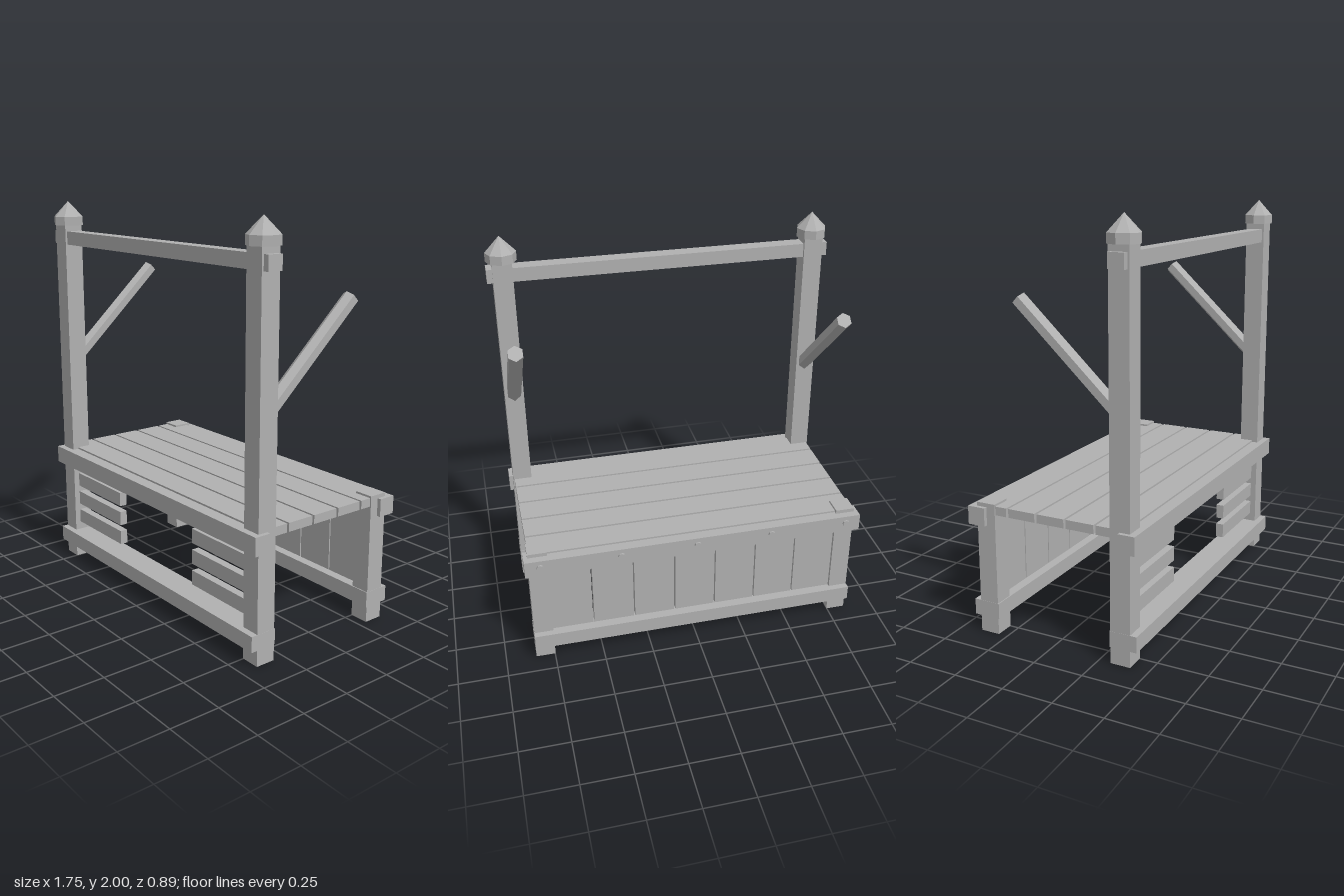
import * as THREE from 'three';

export function createModel() {
  const model = new THREE.Group();
  model.name = 'marketStall';
  const grey = new THREE.MeshStandardMaterial({ color: 0xb0b0b0, flatShading: true });
  grey.name = 'plain grey';

  const add = (name, geometry) => {
    const mesh = new THREE.Mesh(geometry, grey);
    mesh.name = name;
    model.add(mesh);
    return mesh;
  };
  // Box given by its extents on each axis
  const beam = (name, [x0, x1], [y0, y1], [z0, z1]) =>
    add(name, new THREE.BoxGeometry(x1 - x0, y1 - y0, z1 - z0))
      .position.set((x0 + x1) / 2, (y0 + y1) / 2, (z0 + z1) / 2);

  // Posts, caps, awning struts and front slats, mirrored left and right
  for (const [side, s] of [['left', 1], ['right', -1]]) {
    const x = s * 0.797;
    const postX = [x - 0.049, x + 0.049];
    beam(side + 'FrontPost', postX, [0, 1.89], [0.31, 0.41]);
    beam(side + 'BackPost', postX, [0, 0.655], [-0.395, -0.297]);

    add(side + 'CapBase', new THREE.CylinderGeometry(0.077, 0.077, 0.045, 8)).position.set(x, 1.8975, 0.36);
    add(side + 'CapPoint', new THREE.ConeGeometry(0.077, 0.08, 8)).position.set(x, 1.96, 0.36);

    // Hexagonal strut leaning back out of the post
    const from = new THREE.Vector3(x, 1.151, 0.34);
    const to = new THREE.Vector3(x, 1.617, -0.16);
    const dir = to.clone().sub(from);
    const strut = add(side + 'Strut', new THREE.CylinderGeometry(0.039, 0.039, dir.length(), 6));
    strut.position.copy(from).add(to).multiplyScalar(0.5);
    strut.quaternion.setFromUnitVectors(new THREE.Vector3(0, 1, 0), dir.normalize());

    const slatX = s > 0 ? [0.32, 0.76] : [-0.76, -0.32];
    for (let i = 0; i < 4; i++) {
      const y = 0.202 + i * 0.1085;
      beam(side + 'FrontSlat' + (i + 1), slatX, [y, y + 0.074], [0.34, 0.38]);
    }
  }

  // Long rails
  beam('topBar', [-0.875, 0.875], [1.775, 1.845], [0.323, 0.4]);
  beam('frontUpperRail', [-0.866, 0.866], [0.546, 0.636], [0.36, 0.443]);
  beam('backUpperRail', [-0.866, 0.866], [0.546, 0.636], [-0.433, -0.343]);
  beam('frontLowerRail', [-0.847, 0.847], [0.08, 0.158], [0.306, 0.443]);
  beam('backLowerRail', [-0.847, 0.847], [0.08, 0.158], [-0.427, -0.292]);

  // Counter planks
  for (let i = 0; i < 5; i++) {
    const z = (i - 2) * 0.154;
    beam('counterPlank' + (i + 1), [-0.84, 0.84], [0.602, 0.645], [z - 0.071, z + 0.071]);
  }

  // Upright back boards
  for (let i = 0; i < 7; i++) {
    const x = (i - 3) * 0.2145;
    beam('backBoard' + (i + 1), [x - 0.104, x + 0.104], [0.073, 0.602], [-0.38, -0.34]);
  }

  // Bolt heads on the back rail
  [-0.79, -0.388, 0, 0.388, 0.79].forEach((x, i) => {
    const bolt = add('bolt' + (i + 1), new THREE.CylinderGeometry(0.018, 0.018, 0.02, 8));
    bolt.rotation.x = Math.PI / 2;
    bolt.position.set(x, 0.598, -0.433);
  });

  return model;
}
